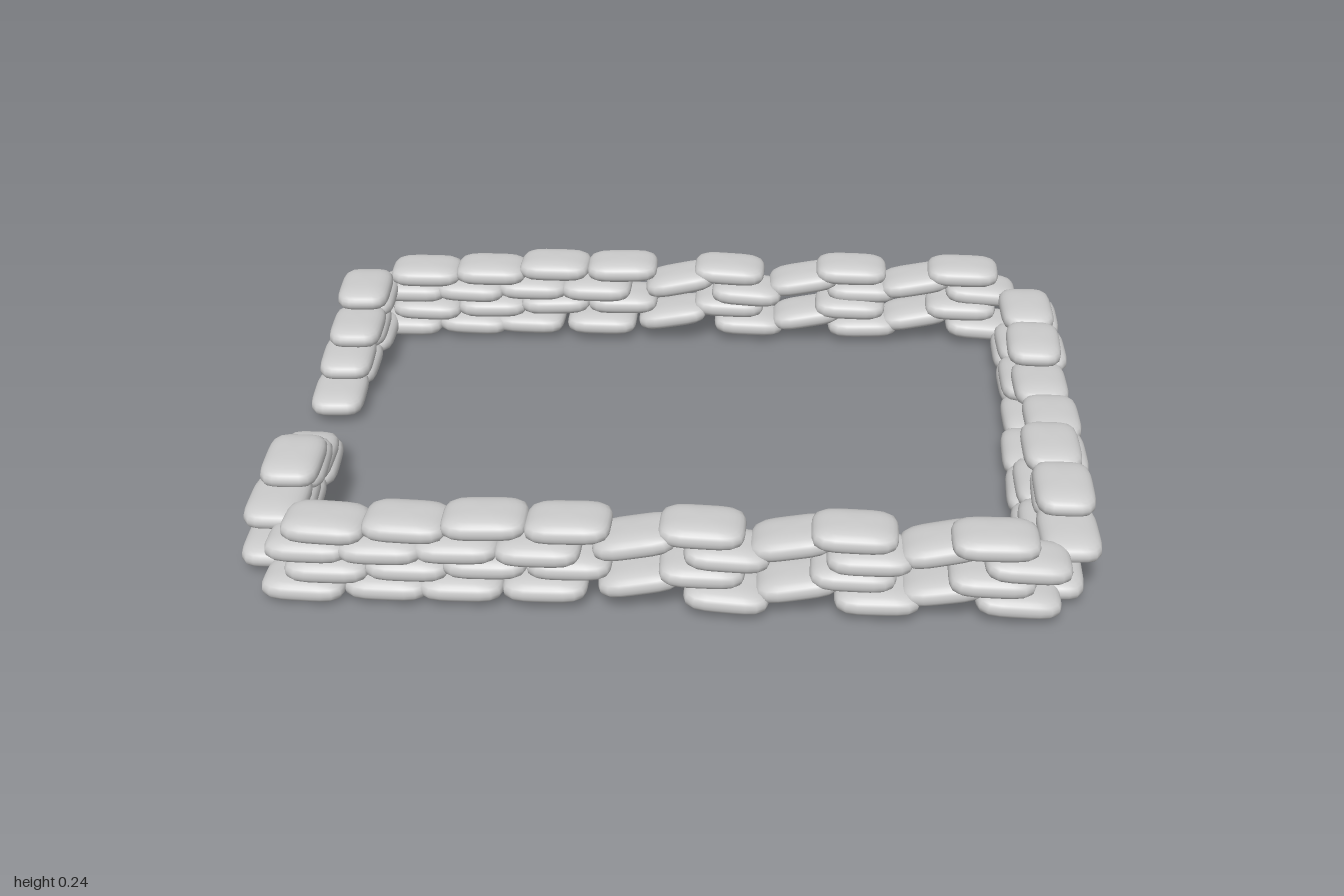
import * as THREE from 'three';
import { mergeVertices } from 'three/addons/utils/BufferGeometryUtils.js';

// Pillow-shaped sandbag: a sphere pushed out to a rounded slab, long axis on x
function bagGeometry(length, height, depth) {
  const sphere = new THREE.SphereGeometry(1, 28, 14);
  sphere.deleteAttribute('uv');
  sphere.deleteAttribute('normal');
  const geometry = mergeVertices(sphere);
  const p = geometry.attributes.position;
  for (let i = 0; i < p.count; i++) {
    const x = p.getX(i), y = p.getY(i), z = p.getZ(i);
    const outline = Math.pow(Math.abs(x) ** 4.5 + Math.abs(z) ** 4.5, 1 / 4.5);
    const spread = outline > 1e-4 ? Math.pow(Math.hypot(x, z), 0.65) / outline : 0;
    const rise = Math.sign(y) * Math.pow(Math.abs(y), 0.85);
    p.setXYZ(i, x * spread * length / 2, rise * height / 2, z * spread * depth / 2);
  }
  geometry.computeVertexNormals();
  return geometry;
}

export function createModel() {
  const model = new THREE.Group();
  const material = new THREE.MeshStandardMaterial({ color: 0xcccccc });
  const geometry = bagGeometry(0.195, 0.06, 0.138);

  // Small seeded variation, between -a and a
  let seed = 7;
  const jitter = (a) => {
    seed = (seed * 16807) % 2147483647;
    return (seed / 2147483647 - 0.5) * 2 * a;
  };

  function addBag(wall, x, y, z, yaw, tilt = 0) {
    const bag = new THREE.Mesh(geometry, material);
    bag.name = 'sandbag';
    bag.position.set(x, y, z);
    bag.rotation.set(0, yaw + jitter(0.04), tilt + jitter(0.015), 'YXZ');
    wall.add(bag);
  }
  function addWall(name) {
    const wall = new THREE.Group();
    wall.name = name;
    model.add(wall);
    return wall;
  }

  // Long walls: two stacked double courses; each entry is [x, y, tilt]
  const lowerCourse = [
    [-0.81, 0.032, 0], [-0.64, 0.038, 0], [-0.47, 0.043, 0], [-0.28, 0.046, 0.02],
    [-0.06, 0.075, 0.2], [0.13, 0.045, -0.04], [0.29, 0.075, 0.2],
    [0.47, 0.045, 0.03], [0.62, 0.075, 0.2], [0.8, 0.045, -0.05],
  ];
  const upperCourse = [
    [-0.77, 0.078, 0], [-0.585, 0.088, 0], [-0.405, 0.104, 0.03], [-0.215, 0.107, 0.03],
    [0.085, 0.105, -0.03], [0.425, 0.108, 0], [0.735, 0.108, 0],
  ];
  const longWalls = [
    ['frontWall', () => 0.655],
    ['backWall', (x) => -0.632 - 0.025 * x],
  ];
  for (const [name, line] of longWalls) {
    const wall = addWall(name);
    for (const level of [0, 0.103]) {
      for (const [x, y, tilt] of lowerCourse) {
        const shift = x > 0.2 ? -0.012 : 0.004;
        addBag(wall, x + jitter(0.015), y + level, line(x) + shift + jitter(0.01), 0, tilt);
      }
      for (const [x, y, tilt] of upperCourse) {
        addBag(wall, x, y + level, line(x) + jitter(0.006), 0, tilt);
      }
    }
  }

  // Closed short wall on +x: each course is [x, y, bag centres along z]
  const spread = [0.53, 0.36, 0.195, 0.02, -0.15, -0.33, -0.51];
  const gapped = [0.43, 0.25, -0.26, -0.45];
  const leftCourses = [
    [0.885, 0.042, spread], [0.885, 0.098, gapped],
    [0.915, 0.145, spread], [0.9, 0.202, gapped],
  ];

  // Open short wall on -x: courses step back from the entrance
  const entranceCourses = [
    [-0.92, 0.042, [0.185, 0.36, 0.53, -0.155, -0.32, -0.5]],
    [-0.92, 0.098, [0.25, 0.43, -0.25, -0.43]],
    [-0.905, 0.15, [0.36, 0.53, -0.33, -0.51]],
    [-0.9, 0.204, [0.435, -0.445]],
  ];
  const shortWalls = [
    ['leftWall', leftCourses, Math.PI / 2],
    ['entranceWall', entranceCourses, Math.PI / 2 + 0.05],
  ];
  for (const [name, courses, yaw] of shortWalls) {
    const wall = addWall(name);
    for (const [x, y, centres] of courses) {
      for (const z of centres) addBag(wall, x + jitter(0.01), y, z, yaw);
    }
  }

  return model;
}
